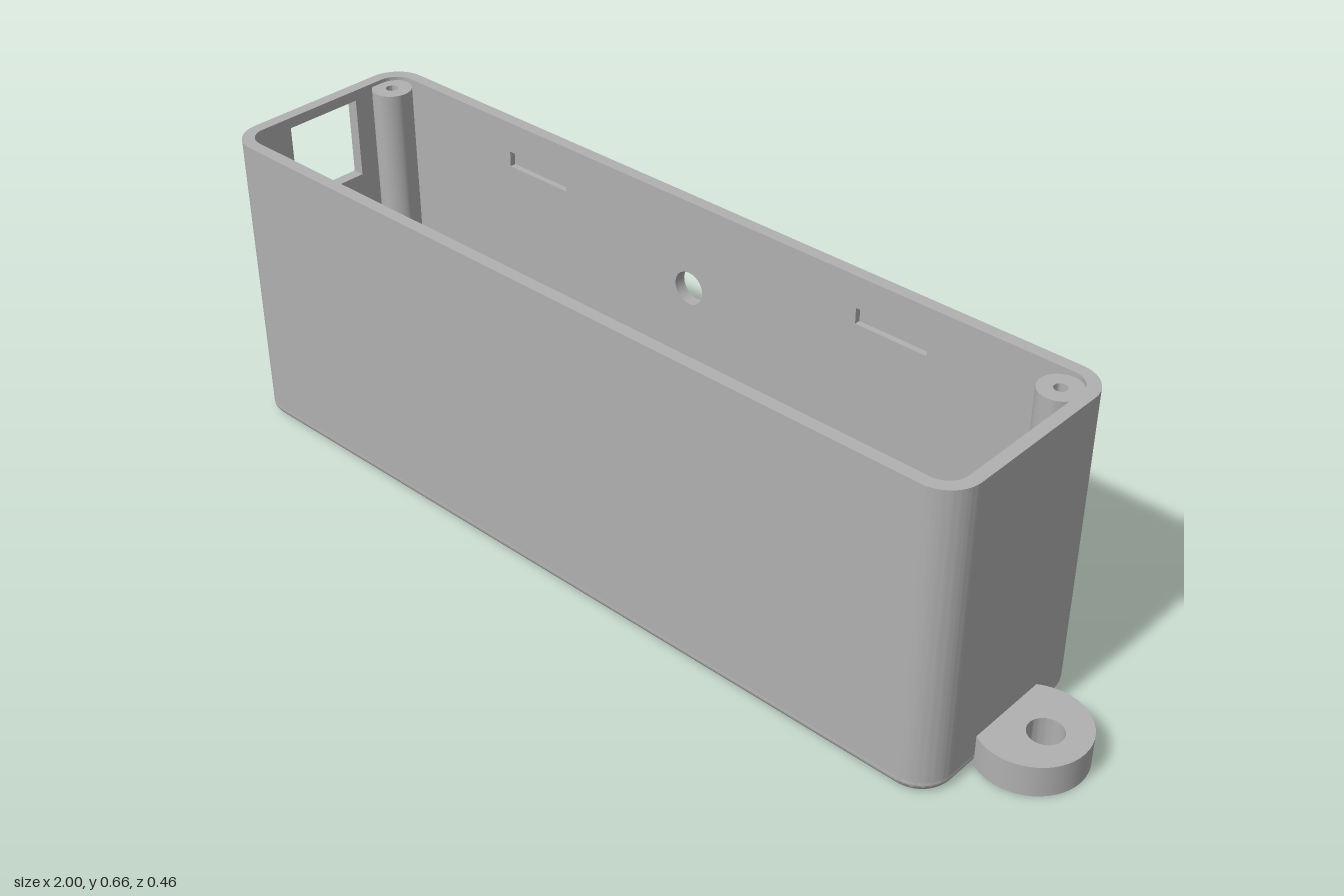
import * as THREE from 'three';
import { toCreasedNormals } from 'three/addons/utils/BufferGeometryUtils.js';

// Outer limits of the box, wall thickness and corner radius
const X0 = -1, X1 = 0.834, Z = 0.231, H = 0.66, T = 0.026, R = 0.07;
const BASE = 0.025, FLOOR = 0.045, FILLET = 0.02, MID = (X0 + X1) / 2;

function rectPath(Type, x0, y0, x1, y1) {
  const p = new Type();
  p.moveTo(x0, y0);
  p.lineTo(x1, y0);
  p.lineTo(x1, y1);
  p.lineTo(x0, y1);
  p.closePath();
  return p;
}

function circlePath(Type, x, y, r) {
  const p = new Type();
  p.absarc(x, y, r, 0, Math.PI * 2, false);
  return p;
}

function roundedRect(x0, y0, x1, y1, r) {
  const s = new THREE.Shape();
  s.absarc(x1 - r, y1 - r, r, 0, Math.PI / 2, false);
  s.absarc(x0 + r, y1 - r, r, Math.PI / 2, Math.PI, false);
  s.absarc(x0 + r, y0 + r, r, Math.PI, Math.PI * 1.5, false);
  s.absarc(x1 - r, y0 + r, r, Math.PI * 1.5, Math.PI * 2, false);
  s.closePath();
  return s;
}

function extrude(shape, depth, options = {}) {
  const g = new THREE.ExtrudeGeometry(shape, { depth, bevelEnabled: false, curveSegments: 14, ...options });
  return toCreasedNormals(g, 0.6);
}

export function createModel() {
  const group = new THREE.Group();
  const grey = new THREE.MeshStandardMaterial({ color: 0xb0b0b0 });
  grey.name = 'grey plastic';

  const add = (name, geometry, x = 0, y = 0, z = 0) => {
    const mesh = new THREE.Mesh(geometry, grey);
    mesh.name = name;
    mesh.position.set(x, y, z);
    group.add(mesh);
    return mesh;
  };

  // Floor slab with a rounded lower edge; its upper bevel is buried in the walls
  const slab = extrude(
    roundedRect(X0 + FILLET, -Z + FILLET, X1 - FILLET, Z - FILLET, R - FILLET),
    FLOOR - 2 * FILLET,
    { bevelEnabled: true, bevelSize: FILLET, bevelThickness: FILLET, bevelSegments: 6 }
  );
  slab.rotateX(Math.PI / 2);
  add('floor', slab, 0, FLOOR - FILLET, 0);

  // Long walls: outer skin plus inner skin with two blind slots; round hole in the back
  const outerT = 0.013;
  for (const side of [1, -1]) {
    const label = side > 0 ? 'front' : 'back';
    const skin = (slots) => {
      const s = rectPath(THREE.Shape, X0 + R, BASE, X1 - R, H);
      if (side < 0) s.holes.push(circlePath(THREE.Path, -0.12, 0.465, 0.036));
      if (slots) {
        for (const c of [MID - 0.46, MID + 0.46]) {
          s.holes.push(rectPath(THREE.Path, c - 0.082, 0.558, c + 0.082, 0.592));
        }
      }
      return s;
    };
    add(label + 'WallOuter', extrude(skin(false), outerT), 0, 0, side > 0 ? Z - outerT : -Z);
    add(label + 'WallInner', extrude(skin(true), T - outerT), 0, 0, side > 0 ? Z - T : -Z + outerT);
  }

  // End walls: the right one has a square window
  for (const side of [1, -1]) {
    const s = rectPath(THREE.Shape, -Z + R, BASE, Z - R, H);
    if (side < 0) s.holes.push(rectPath(THREE.Path, -0.086, 0.46, 0.091, 0.637));
    const g = extrude(s, T);
    g.rotateY(-Math.PI / 2);
    add(side > 0 ? 'leftEndWall' : 'rightEndWall', g, side > 0 ? X1 : X0 + T, 0, 0);
  }

  // Rounded vertical corners
  const corners = [[X1 - R, Z - R], [X0 + R, Z - R], [X0 + R, -Z + R], [X1 - R, -Z + R]];
  corners.forEach(([x, z], i) => {
    const a = i * Math.PI / 2, b = a + Math.PI / 2;
    const s = new THREE.Shape();
    s.absarc(0, 0, R, a, b, false);
    s.absarc(0, 0, R - T, b, a, true);
    s.closePath();
    const g = extrude(s, H - BASE);
    g.rotateX(Math.PI / 2);
    add('cornerWall', g, x, H, z);
  });

  // Screw posts with blind holes in the two back corners
  const post = [[0.043, FLOOR], [0.043, 0.652], [0.013, 0.652], [0.013, 0.5], [0, 0.5]];
  for (const x of [-0.939, 0.768]) {
    const g = new THREE.LatheGeometry(post.map(([r, y]) => new THREE.Vector2(r, y)), 32);
    add('screwPost', toCreasedNormals(g, 0.6), x, 0, -0.159);
  }

  // Two long guide ribs on the floor
  for (const z of [-0.132, 0.124]) {
    add('floorRib', new THREE.BoxGeometry(1.5, 0.04, 0.026), -0.05, FLOOR + 0.02, z);
  }

  // Round socket on the floor
  const ring = circlePath(THREE.Shape, 0, 0, 0.09);
  ring.holes.push(circlePath(THREE.Path, 0, 0, 0.075));
  const ringGeometry = extrude(ring, 0.06);
  ringGeometry.rotateX(Math.PI / 2);
  add('floorSocket', ringGeometry, -0.88, FLOOR + 0.06, 0.08);

  // Thin pad inside the left end wall
  add('endPad', new THREE.BoxGeometry(0.022, 0.4, 0.29), 0.799, FLOOR + 0.2, 0.04);

  // Mounting tab with an off-centre hole
  const tab = circlePath(THREE.Shape, 0.891, 0, 0.109);
  tab.holes.push(circlePath(THREE.Path, 0.917, 0, 0.035));
  const tabGeometry = extrude(tab, 0.068, { curveSegments: 24 });
  tabGeometry.rotateX(Math.PI / 2);
  add('mountingTab', tabGeometry, 0, 0.068, 0);

  return group;
}
